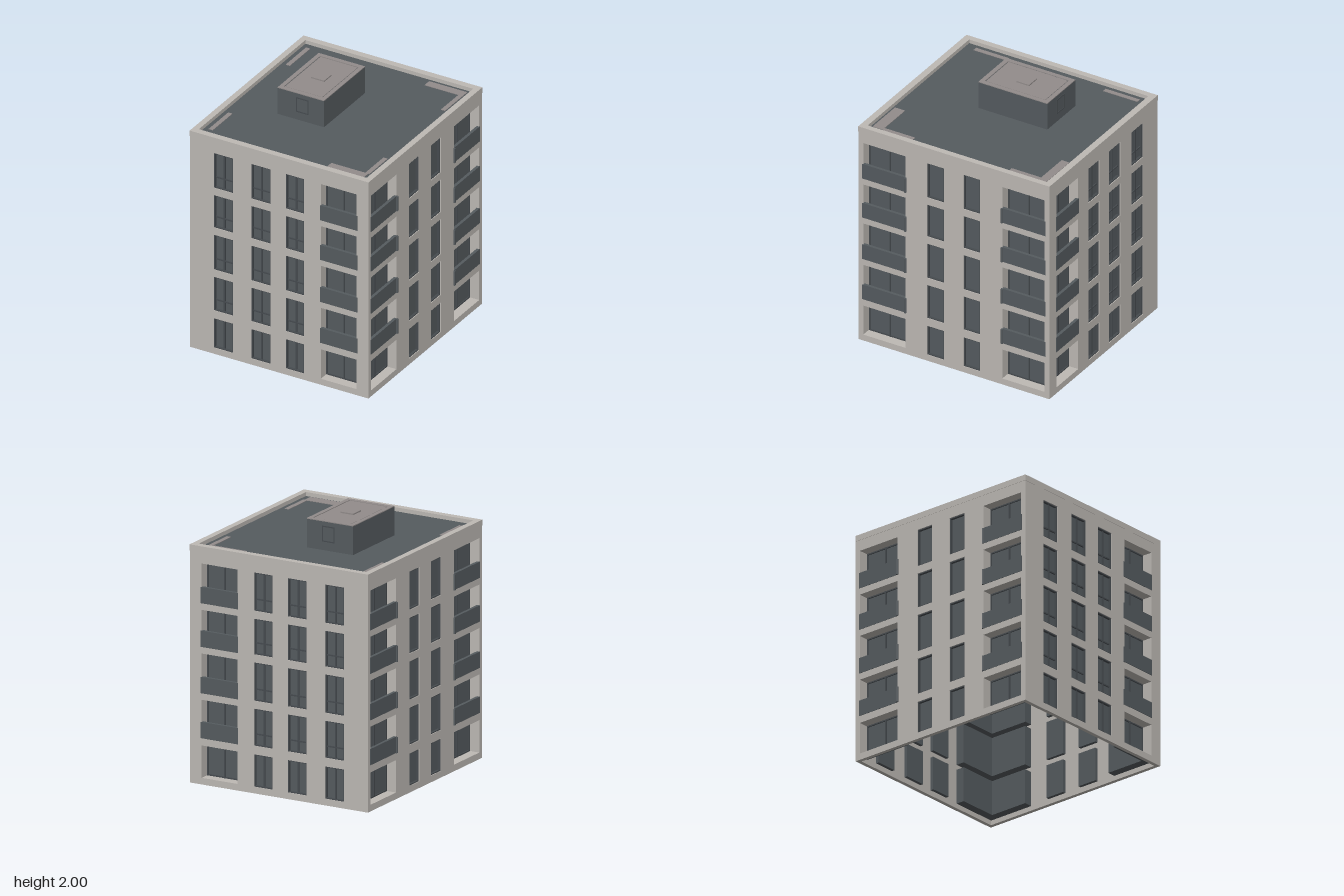
import * as THREE from 'three';

const mat = (name, color) => {
  const m = new THREE.MeshStandardMaterial({ color });
  m.name = name;
  return m;
};

export function createModel() {
  const plaster = mat('pale plaster', 0xbdb9b4);
  const dark = mat('dark slate', 0x555b5f);
  const frameMat = mat('window frame', 0x464b4f);
  const capMat = mat('grey cap', 0x928c8b);
  const T = 0.03; // wall thickness
  const RECESS = 0.085; // balcony depth

  const building = new THREE.Group();
  building.name = 'apartmentBuilding';

  // Box given by its limits on each axis
  function box(parent, name, material, x0, x1, y0, y1, z0, z1) {
    const mesh = new THREE.Mesh(new THREE.BoxGeometry(x1 - x0, y1 - y0, z1 - z0), material);
    mesh.position.set((x0 + x1) / 2, (y0 + y1) / 2, (z0 + z1) / 2);
    mesh.name = name;
    parent.add(mesh);
    return mesh;
  }

  function trace(path, x0, x1, y0, y1) {
    path.moveTo(x0, y0);
    path.lineTo(x1, y0);
    path.lineTo(x1, y1);
    path.lineTo(x0, y1);
    path.closePath();
    return path;
  }

  // Rectangular plate with rectangular holes, front at z = front
  function plate(parent, name, material, rect, holes, front, depth) {
    const shape = trace(new THREE.Shape(), ...rect);
    holes.forEach((h) => shape.holes.push(trace(new THREE.Path(), ...h)));
    const geo = new THREE.ExtrudeGeometry(shape, { depth, bevelEnabled: false });
    geo.translate(0, 0, front - depth);
    const mesh = new THREE.Mesh(geo, material);
    mesh.name = name;
    parent.add(mesh);
    return mesh;
  }

  const grow = ([x0, x1, y0, y1], d) => [x0 - d, x1 + d, y0 - d, y1 + d];

  const floors = [[0.05, 0.295], [0.36, 0.64], [0.7, 0.99], [1.05, 1.32], [1.38, 1.67]];

  // Window: glass pane, surround, mullion and optional transom
  function addWindow(wall, rect, split, transom) {
    const [x0, x1, y0, y1] = rect;
    const g = new THREE.Group();
    g.name = 'window';
    const mid = (x0 + x1) / 2;
    box(g, 'glass', dark, x0 - 0.008, x1 + 0.008, y0 - 0.008, y1 + 0.008, -T - 0.025, -T + 0.005);
    plate(g, 'windowFrame', frameMat, rect, [grow(rect, -0.008)], -0.006, 0.022);
    if (split) box(g, 'mullion', frameMat, mid - 0.006, mid + 0.006, y0, y1, -T, -0.016);
    if (transom) box(g, 'transom', frameMat, x0, x1, y0 + 0.08, y0 + 0.09, -T, -0.016);
    wall.add(g);
  }

  // Loggia: recessed room front with glazing and a solid balustrade
  function addBalcony(wall, rect, railed, posted) {
    const [x0, x1, y0, y1] = rect;
    const g = new THREE.Group();
    g.name = 'balcony';
    const outer = grow(rect, 0.008);
    plate(g, 'reveal', plaster, outer, [rect], -T, RECESS - T);
    plate(g, 'recessCasing', dark, grow(rect, 0.013), [outer], -T, RECESS - T);
    plate(g, 'glazing', dark, grow(rect, 0.013), [], -RECESS, 0.012);
    plate(g, 'glazingFrame', frameMat, rect, [grow(rect, -0.01)], -RECESS + 0.008, 0.008);
    const mid = (x0 + x1) / 2;
    box(g, 'mullion', frameMat, mid - 0.005, mid + 0.005, y0, y1, -RECESS, -RECESS + 0.01);
    if (railed) {
      box(g, 'balustrade', dark, x0 - 0.007, x1 + 0.007, y0 - 0.01, y0 + 0.113, -0.02, 0.003);
      if (posted) {
        const px = Math.abs(x0) < Math.abs(x1) ? x0 : x1;
        const post = new THREE.Mesh(new THREE.CylinderGeometry(0.009, 0.009, 0.12, 10), dark);
        post.position.set(px, y0 + 0.05, 0.005);
        post.name = 'balustradePost';
        g.add(post);
      }
    }
    wall.add(g);
  }

  // A facade in local coordinates, facing +z with its outer face at z = 0
  function facade(name, halfWidth, windows, balconies, isSide) {
    const wall = new THREE.Group();
    wall.name = name;
    const holes = [];
    floors.forEach(([y0, y1], i) => {
      windows.forEach(([a, b]) => {
        const r = [a, b, y0, y1];
        holes.push(r);
        addWindow(wall, r, !isSide, !isSide && i > 0);
      });
      balconies.forEach(([a, b]) => {
        const r = [a, b, y0, y1];
        holes.push(r);
        addBalcony(wall, r, i > 0, isSide);
      });
    });
    plate(wall, 'wall', plaster, [-halfWidth, halfWidth, 0, 1.785], holes, 0, T);
    building.add(wall);
    return wall;
  }

  const flip = (list) => list.map(([a, b]) => [-b, -a]);
  const frontWindows = [[-0.55, -0.39], [-0.235, -0.075], [0.055, 0.21]];
  const frontBalcony = [[0.35, 0.65]];
  const sideWindows = [[-0.228, -0.085], [0.08, 0.222]];
  const sideBalconies = [[-0.77, -0.41], [0.41, 0.77]];

  facade('frontFacade', 0.75, frontWindows, frontBalcony, false).position.z = 0.81;
  const back = facade('backFacade', 0.75, flip(frontWindows), flip(frontBalcony), false);
  back.position.z = -0.81;
  back.rotation.y = Math.PI;
  for (const s of [1, -1]) {
    const side = facade(s > 0 ? 'leftFacade' : 'rightFacade', 0.81 - T,
      s > 0 ? sideWindows : flip(sideWindows), sideBalconies, true);
    side.position.x = s * 0.75;
    side.rotation.y = s * Math.PI / 2;
  }

  // Roof deck and the raised rim around it
  box(building, 'roofDeck', dark, -0.72, 0.72, 1.74, 1.77, -0.78, 0.78);
  const rim = plate(building, 'roofRim', plaster, [-0.752, 0.752, -0.812, 0.812],
    [[-0.705, 0.705, -0.76, 0.76]], 0, 0.045);
  rim.rotation.x = -Math.PI / 2;
  rim.position.y = 1.8;

  // Pale strips lying in the corners of the deck
  [[0.35, 0.67, -0.735, -0.67], [0.635, 0.67, -0.67, -0.42], [-0.67, -0.635, -0.71, -0.42],
    [-0.67, -0.635, 0.4, 0.68], [0.35, 0.66, 0.66, 0.745], [0.635, 0.67, 0.4, 0.66],
  ].forEach(([x0, x1, z0, z1]) => box(building, 'deckStrip', capMat, x0, x1, 1.768, 1.774, z0, z1));

  // Rooftop stair house with capped top and hatch
  const house = new THREE.Group();
  house.name = 'roofHouse';
  building.add(house);
  box(house, 'houseBody', dark, -0.355, 0.035, 1.76, 1.982, -0.355, 0.23);
  const capRim = plate(house, 'houseRim', capMat, [-0.355, 0.035, -0.23, 0.355],
    [[-0.322, 0.002, -0.195, 0.32]], 0, 0.006);
  capRim.rotation.x = -Math.PI / 2;
  capRim.position.y = 1.992;
  box(house, 'houseRimBase', dark, -0.355, 0.035, 1.98, 1.986, -0.355, 0.23);
  box(house, 'housePanel', capMat, -0.316, -0.004, 1.98, 1.99, -0.314, 0.189);
  box(house, 'hatch', capMat, -0.215, -0.105, 1.985, 2.0, -0.115, -0.01);
  for (const [z0, z1] of [[0.23, 0.234], [-0.359, -0.355]]) {
    plate(house, 'ventFrame', frameMat, [-0.2, -0.095, 1.835, 1.955],
      [[-0.192, -0.103, 1.843, 1.947]], z1, z1 - z0);
  }
  return building;
}
